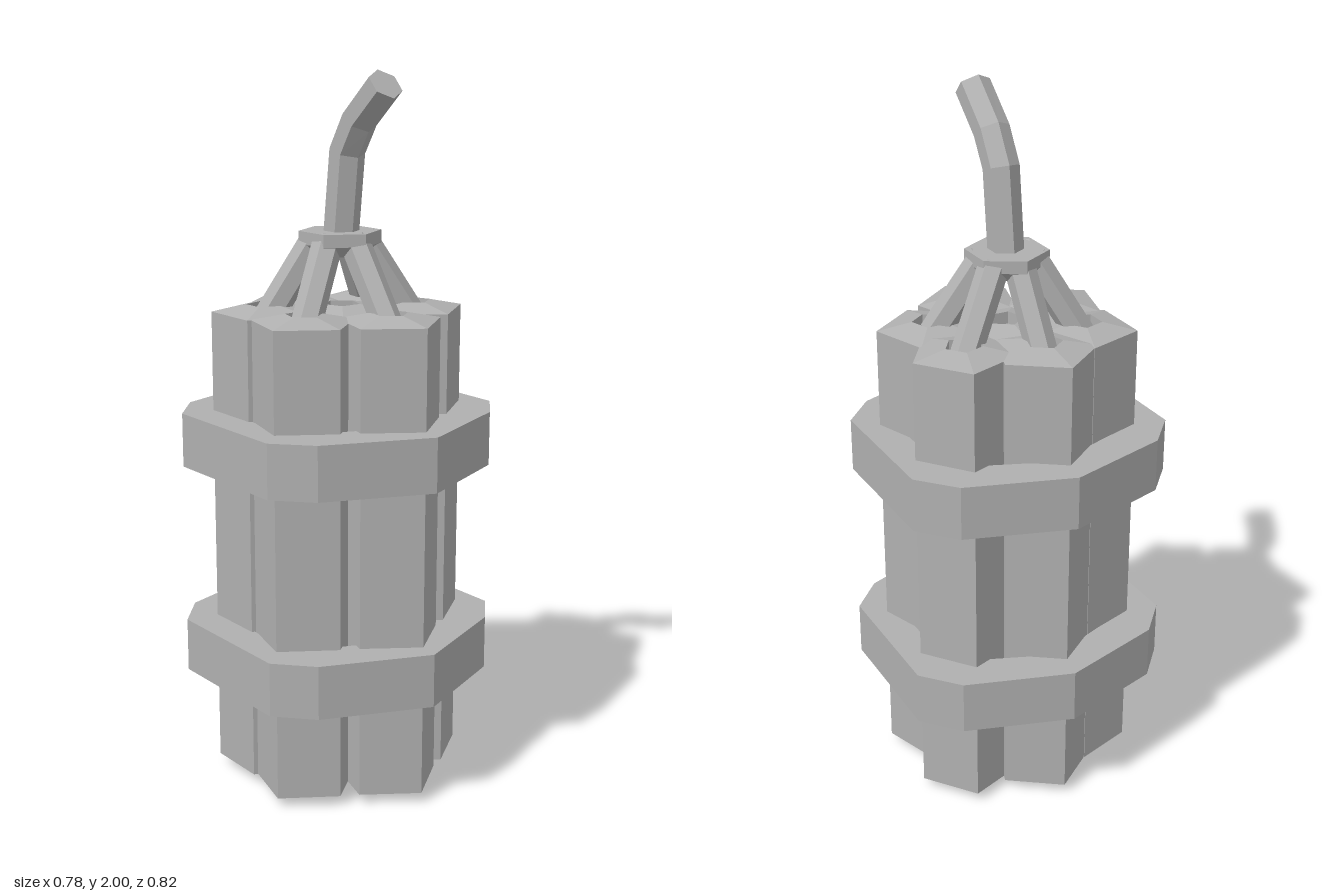
import * as THREE from 'three';

export function createModel() {
  const model = new THREE.Group();
  model.name = 'stickBundle';
  const grey = new THREE.MeshStandardMaterial({ color: 0xb0b0b0, flatShading: true });
  grey.name = 'grey';

  const add = (name, geometry, parent = model) => {
    const mesh = new THREE.Mesh(geometry, grey);
    mesh.name = name;
    parent.add(mesh);
    return mesh;
  };

  // Five-sided sticks with sloped ends and a shallow socket at each end: x, z, corner angle
  const sticks = [
    [0, 0, -90],
    [0.005, 0.204, 88],
    [0.186, 0.08, 17],
    [0.186, -0.117, -2],
    [-0.012, -0.193, -91],
    [-0.177, -0.114, 0],
    [-0.189, 0.081, 159],
  ];
  const stickProfile = [
    [0, 0.04], [0.052, 0.04], [0.052, 0], [0.148, 0.03],
    [0.148, 1.35], [0.052, 1.37], [0.052, 1.335], [0, 1.335],
  ].map(([r, y]) => new THREE.Vector2(r, y));
  const stickGroup = new THREE.Group();
  stickGroup.name = 'sticks';
  model.add(stickGroup);
  for (const [x, z, angle] of sticks) {
    const start = THREE.MathUtils.degToRad(90 - angle);
    add('stick', new THREE.LatheGeometry(stickProfile, 5, start), stickGroup).position.set(x, 0, z);
  }

  // Two faceted straps around the bundle; half outlines (x, z) mirrored in x
  const outline = (half) => {
    const other = half.slice(1, -1).reverse().map(([x, z]) => [-x, z]);
    return [...half, ...other].map(([x, z]) => new THREE.Vector2(x, -z));
  };
  const strapShape = new THREE.Shape(outline([
    [0, 0.41], [0.298, 0.286], [0.388, 0.188], [0.388, -0.219], [0.298, -0.32], [0, -0.412],
  ]));
  strapShape.holes.push(new THREE.Path(outline([
    [0, 0.28], [0.215, 0.19], [0.289, 0.12], [0.289, -0.15], [0.215, -0.225], [0, -0.308],
  ])));
  const strapGeometry = new THREE.ExtrudeGeometry(strapShape, { depth: 0.152, bevelEnabled: false });
  strapGeometry.rotateX(-Math.PI / 2);
  add('lowerStrap', strapGeometry).position.y = 0.314;
  add('upperStrap', strapGeometry).position.y = 0.92;

  // Short fuses leaning from each outer stick to the collar
  const up = new THREE.Vector3(0, 1, 0);
  const fuseGroup = new THREE.Group();
  fuseGroup.name = 'shortFuses';
  model.add(fuseGroup);
  for (const [x, z] of sticks.slice(1)) {
    const foot = new THREE.Vector3(x * 0.96, 1.335, z * 0.96);
    const head = new THREE.Vector3(x * 0.3, 1.55, z * 0.3 - 0.01);
    const direction = head.clone().sub(foot);
    const fuse = add('shortFuse', new THREE.CylinderGeometry(0.042, 0.042, direction.length(), 6), fuseGroup);
    fuse.position.copy(foot).add(head).multiplyScalar(0.5);
    fuse.quaternion.setFromUnitVectors(up, direction.normalize());
  }

  // Hexagonal collar, tapering underneath
  const collarProfile = [[0, 1.505], [0.08, 1.505], [0.114, 1.535], [0.114, 1.57], [0, 1.57]]
    .map(([r, y]) => new THREE.Vector2(r, y));
  add('collar', new THREE.LatheGeometry(collarProfile, 6)).position.z = -0.008;

  // Bent main fuse: each ring of a hexagonal bar is moved to y, z and tilted forward
  const rings = [
    [1.55, -0.004, 0.1],
    [1.785, 0.024, 0.32],
    [1.87, 0.077, 0.68],
    [1.965, 0.185, 0.81],
  ];
  const fuseGeometry = new THREE.CylinderGeometry(0.049, 0.049, 3, 6, 3);
  const position = fuseGeometry.attributes.position;
  for (let i = 0; i < position.count; i++) {
    const [y, z, tilt] = rings[Math.round(position.getY(i) + 1.5)];
    const offset = position.getZ(i);
    position.setY(i, y - offset * Math.sin(tilt));
    position.setZ(i, z + offset * Math.cos(tilt));
  }
  fuseGeometry.computeVertexNormals();
  add('mainFuse', fuseGeometry);

  return model;
}
